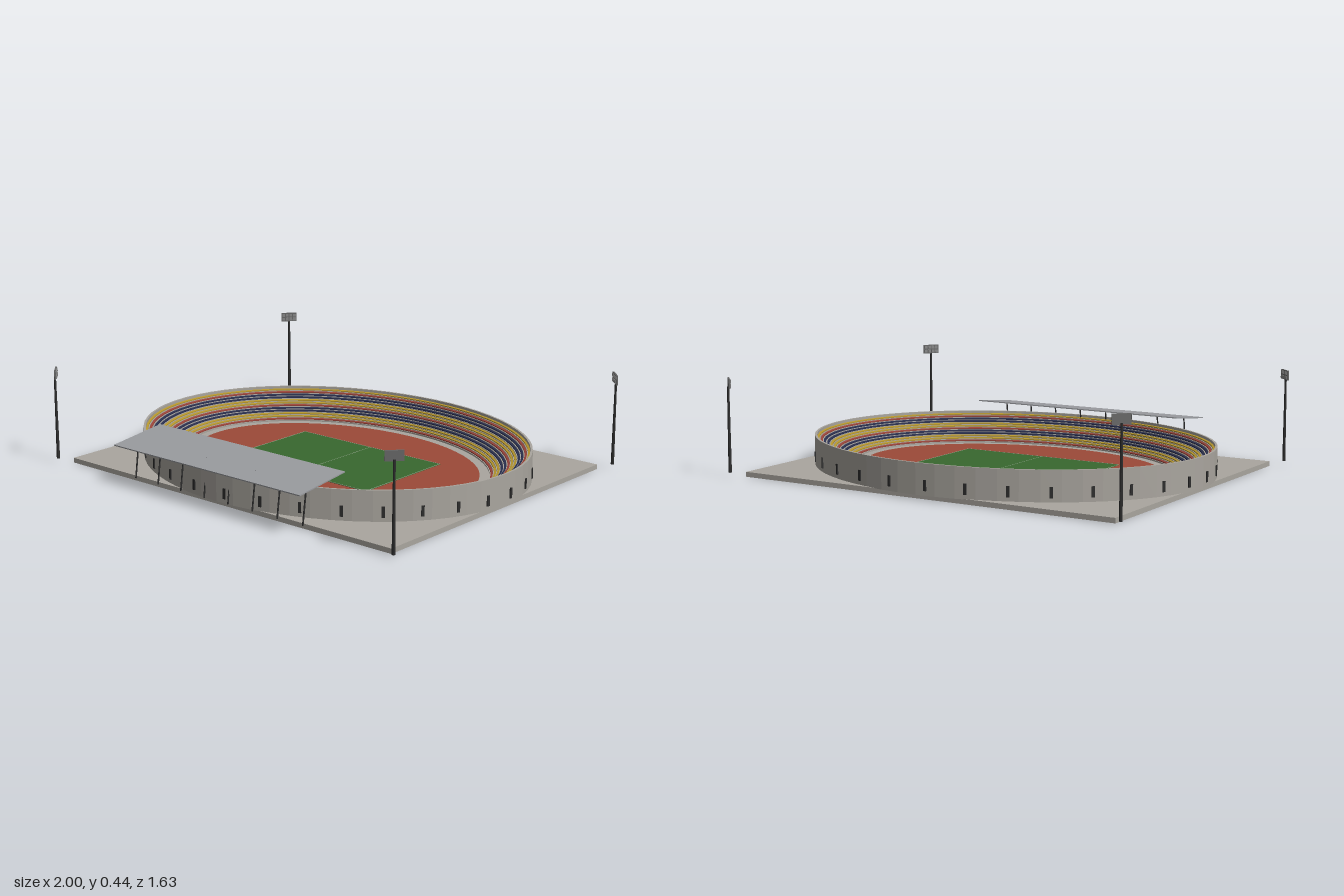
import * as THREE from 'three';

const CZ = -0.013;            // the stadium sits slightly behind the origin
const RX = 0.757, RZ = 0.567; // inner ellipse of the stand
const WALL = 0.185;           // stand depth

const mat = (color, extra = {}) =>
  new THREE.MeshStandardMaterial({ color, flatShading: true, ...extra });

const concrete = mat(0xaaa69f), dark = mat(0x2c2c2c), steel = mat(0x6a6a6a);
const seatMats = {
  y: mat(0xb8982e), n: mat(0x2a3050), r: mat(0x9c443a),
};

function add(parent, name, geometry, material, x = 0, y = 0, z = 0) {
  const mesh = new THREE.Mesh(geometry, material);
  mesh.name = name;
  mesh.position.set(x, y, z);
  parent.add(mesh);
  return mesh;
}

// Sweep an [offset, height] profile around the inner ellipse
function ellipseSweep(profile, segments = 64) {
  const geo = new THREE.LatheGeometry(profile.map(([o, y]) => new THREE.Vector2(1 + o, y)), segments);
  const p = geo.attributes.position;
  for (let i = 0; i < p.count; i++) {
    const x = p.getX(i), z = p.getZ(i), r = Math.hypot(x, z);
    p.setX(i, (x / r) * (RX + r - 1));
    p.setZ(i, (z / r) * (RZ + r - 1));
  }
  geo.computeVertexNormals();
  return geo;
}

// Straight round bar between two points
function bar(parent, name, a, b, radius, material) {
  const from = new THREE.Vector3(...a), to = new THREE.Vector3(...b);
  const dir = to.clone().sub(from);
  const mesh = add(parent, name, new THREE.CylinderGeometry(radius, radius, dir.length(), 8), material);
  mesh.position.copy(from).add(to).multiplyScalar(0.5);
  mesh.quaternion.setFromUnitVectors(new THREE.Vector3(0, 1, 0), dir.normalize());
}

function ellipseDisc(rx, rz, height) {
  return new THREE.CylinderGeometry(1, 1, height, 64).scale(rx, 1, rz);
}

function createStand() {
  const stand = new THREE.Group();
  stand.name = 'stand';
  const rows = 12, tread = 0.175 / rows, base = 0.032, rise = 0.0095;

  // Stepped bowl with its outer wall
  const profile = [[WALL, 0.02], [WALL, 0.155], [0.175, 0.155]];
  for (let i = rows - 1; i >= 0; i--) {
    const y = base + i * rise;
    profile.push([(i + 1) * tread, y], [i * tread, y]);
  }
  profile.push([0, 0.02]);
  add(stand, 'bowl', ellipseSweep(profile), concrete);

  // Coloured seat rows, innermost first
  [...'ryynnryynnry'].forEach((key, i) => {
    const a = (i + 0.3) * tread, b = (i + 0.95) * tread, y = base + i * rise;
    add(stand, 'seatRow', ellipseSweep([[b, y], [b, y + 0.007], [a, y + 0.005], [a, y]]), seatMats[key]);
  });

  // Narrow gates around the outer wall
  for (let k = 0; k < 32; k++) {
    const t = (k + 0.75) * Math.PI / 16;
    const rx = RX + WALL, rz = RZ + WALL;
    const gate = add(stand, 'gate', new THREE.BoxGeometry(0.013, 0.046, 0.008), dark,
      rx * Math.cos(t), 0.063, rz * Math.sin(t));
    gate.rotation.y = Math.atan2(Math.cos(t) / rx, Math.sin(t) / rz);
  }
  return stand;
}

function createField() {
  const field = new THREE.Group();
  field.name = 'field';
  add(field, 'apron', ellipseDisc(RX, RZ, 0.004), concrete, 0, 0.023);
  add(field, 'track', ellipseDisc(0.713, 0.524, 0.004), mat(0x9c4a38), 0, 0.025);
  add(field, 'grass', new THREE.BoxGeometry(0.806, 0.004, 0.518), mat(0x38682f), 0, 0.027);
  // Pitch border and halfway line
  const line = mat(0x8fa388);
  for (const s of [-1, 1]) {
    add(field, 'sideLine', new THREE.BoxGeometry(0.806, 0.001, 0.003), line, 0, 0.0293, s * 0.2575);
    add(field, 'goalLine', new THREE.BoxGeometry(0.003, 0.001, 0.518), line, s * 0.4015, 0.0293, 0);
  }
  add(field, 'halfwayLine', new THREE.BoxGeometry(0.002, 0.001, 0.518), line, 0, 0.0293, 0);
  return field;
}

function createCanopy() {
  const canopy = new THREE.Group();
  canopy.name = 'canopy';
  // Tilted roof sheet, higher on the pitch side
  const roof = add(canopy, 'roof', new THREE.BoxGeometry(1.074, 0.005, 0.277), mat(0x9a9ca0), 0, 0.195, 0.692);
  roof.rotation.x = 0.122;
  // Leaning support posts
  for (let i = 0; i < 8; i++) {
    const x = (i - 3.5) * 0.139;
    bar(canopy, 'roofPost', [x, 0.022, 0.755], [x, 0.192, 0.731], 0.0035, dark);
  }
  return canopy;
}

function createFloodlight(sx, sz) {
  const tower = new THREE.Group();
  tower.name = 'floodlight';
  add(tower, 'pole', new THREE.CylinderGeometry(0.005, 0.0075, 0.38, 8), dark, 0, 0.212, 0);
  add(tower, 'lampPanel', new THREE.BoxGeometry(0.076, 0.043, 0.007), steel, 0, 0.417, 0.004);
  // Lamps on the pitch side of the panel
  for (let r = 0; r < 2; r++) for (let c = 0; c < 4; c++) {
    add(tower, 'lamp', new THREE.BoxGeometry(0.013, 0.014, 0.004), mat(0x8c8c8c),
      (c - 1.5) * 0.018, 0.407 + r * 0.02, 0.009);
  }
  tower.position.set(sx * 0.972, 0, sz * 0.778);
  tower.rotation.y = Math.atan2(-sx, -sz);
  return tower;
}

export function createModel() {
  const model = new THREE.Group();
  model.name = 'stadium';
  add(model, 'basePlate', new THREE.BoxGeometry(1.845, 0.022, 1.46), concrete, 0, 0.011, 0);
  model.add(createField(), createStand(), createCanopy());
  for (const sx of [-1, 1]) for (const sz of [-1, 1]) model.add(createFloodlight(sx, sz));
  model.children.forEach((part) => { part.position.z += CZ; });
  return model;
}
